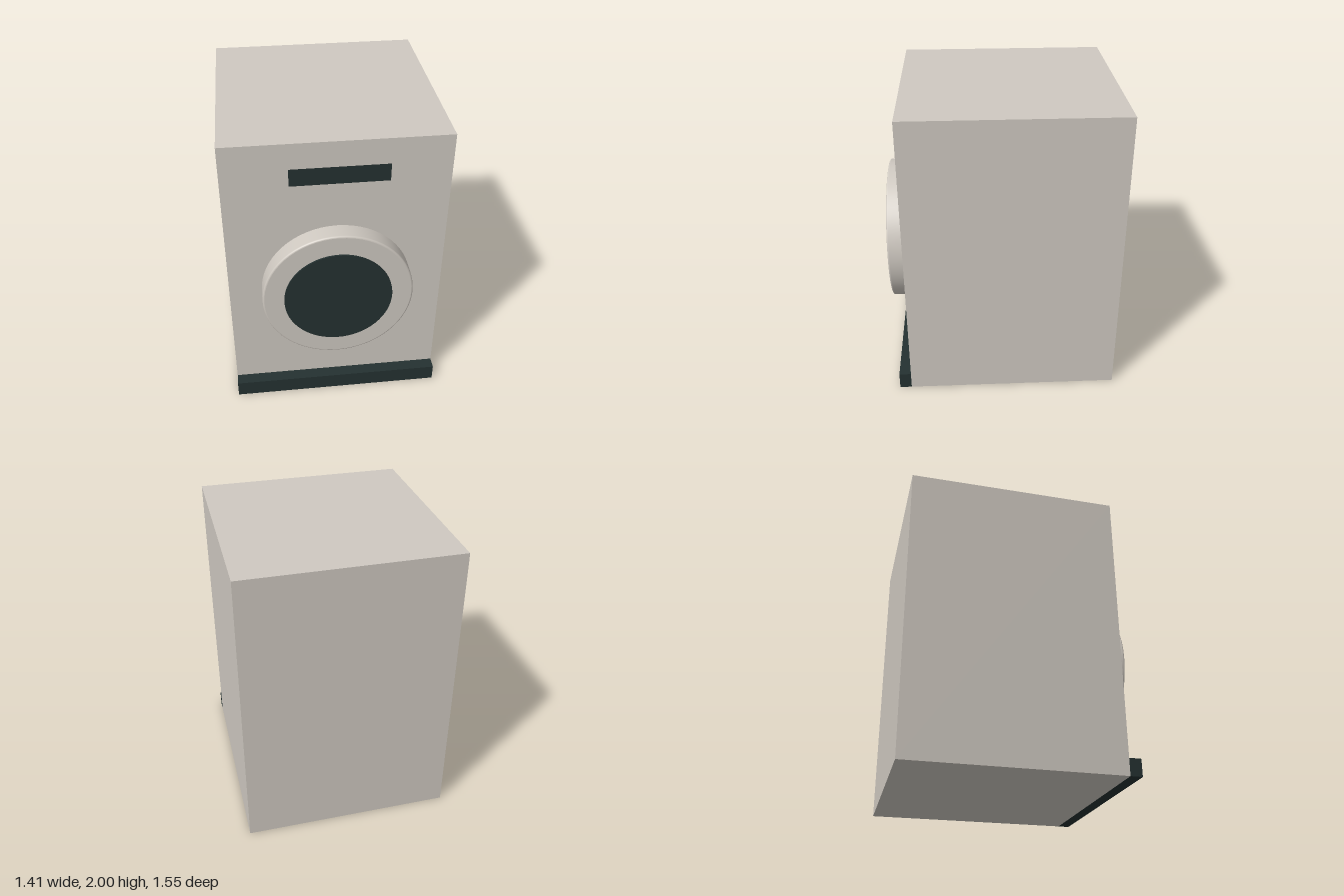
import * as THREE from 'three';

export function createModel() {
  const model = new THREE.Group();
  model.name = 'washingMachine';

  const enamel = new THREE.MeshStandardMaterial({ color: 0xcfc9c1 });
  enamel.name = 'warm grey enamel';
  const dark = new THREE.MeshStandardMaterial({ color: 0x243131 });
  dark.name = 'dark glass';

  const add = (name, geometry, material, x, y, z) => {
    const mesh = new THREE.Mesh(geometry, material);
    mesh.name = name;
    mesh.position.set(x, y, z);
    model.add(mesh);
    return mesh;
  };

  // Cabinet and the kick plate along its front foot
  add('cabinet', new THREE.BoxGeometry(1.41, 2, 1.42), enamel, 0, 1, -0.065);
  add('kickPlate', new THREE.BoxGeometry(1.41, 0.115, 0.08), dark, 0, 0.0575, 0.685);

  // Round door: a disc with a softly rounded front rim, turned to face +z
  const radius = 0.493, depth = 0.12, bevel = 0.012;
  const profile = [new THREE.Vector2(radius, 0)];
  for (let i = 0; i <= 4; i++) {
    const a = (i / 4) * Math.PI / 2;
    profile.push(new THREE.Vector2(
      radius - bevel + bevel * Math.cos(a),
      depth - bevel + bevel * Math.sin(a)
    ));
  }
  const rim = new THREE.LatheGeometry(profile, 64).rotateX(Math.PI / 2);
  add('doorRim', rim, enamel, 0, 0.903, 0.645);
  add('doorFace', new THREE.CircleGeometry(radius - bevel, 64), enamel, 0, 0.903, 0.765);

  // Dark window standing slightly proud of the door
  const glass = new THREE.CylinderGeometry(0.353, 0.353, 0.012, 64).rotateX(Math.PI / 2);
  add('doorWindow', glass, dark, 0, 0.903, 0.77);

  // Display panel, a thin sheet held in front of the cabinet
  add('displayPanel', new THREE.PlaneGeometry(0.6, 0.115), dark, 0, 1.845, 0.766);

  return model;
}
